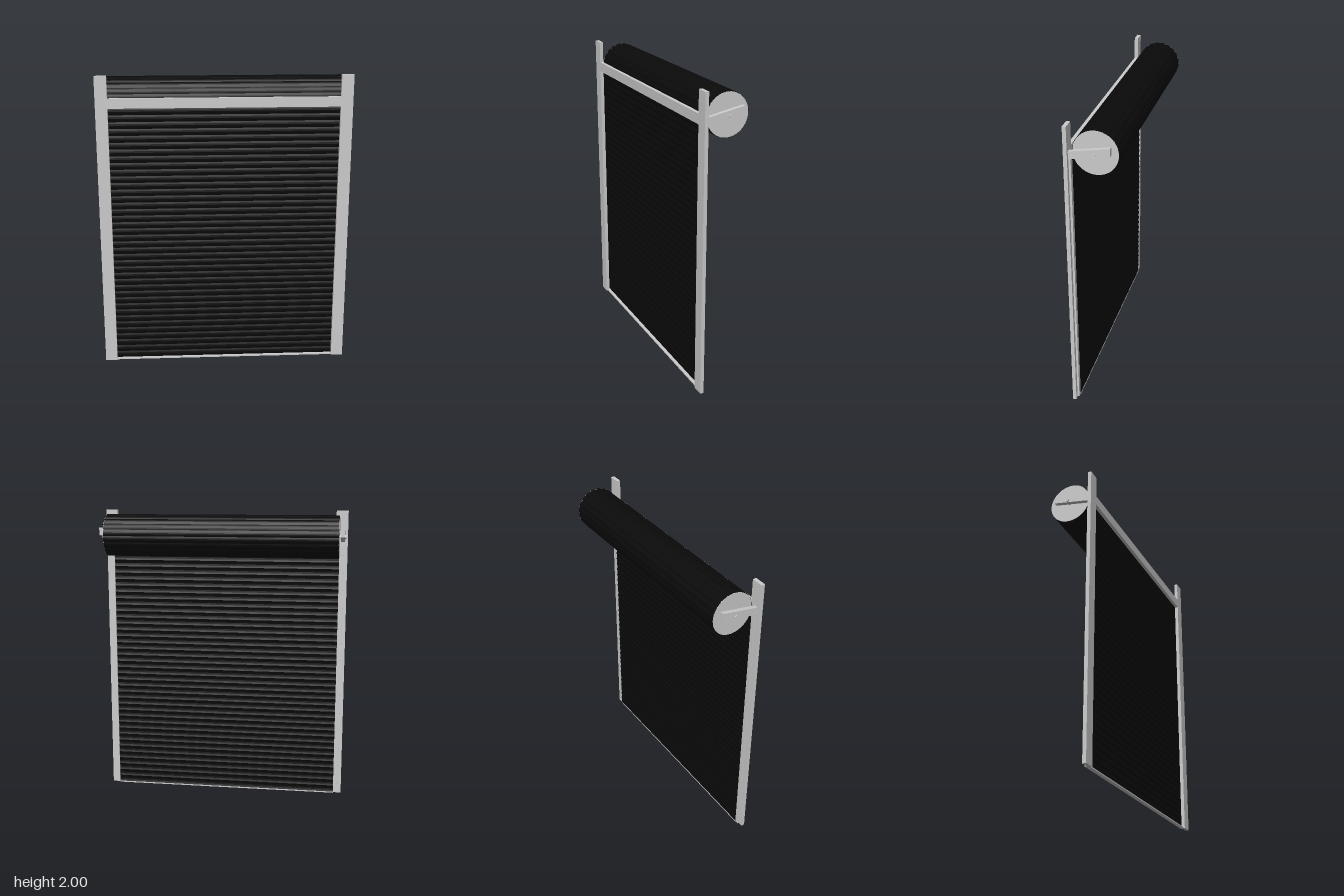
import * as THREE from 'three';

const grey = new THREE.MeshStandardMaterial({ color: 0xcccccc });
const black = new THREE.MeshStandardMaterial({ color: 0x0a0a0a });

const ROLL = { y: 1.833, z: -0.0185, r: 0.1415 };
const HALF_WIDTH = 0.785;

function add(parent, name, geometry, material = grey) {
  const mesh = new THREE.Mesh(geometry, material);
  mesh.name = name;
  parent.add(mesh);
  return mesh;
}

// Box given by its limits on each axis
function box(parent, name, [x0, x1], [y0, y1], [z0, z1]) {
  const mesh = add(parent, name, new THREE.BoxGeometry(x1 - x0, y1 - y0, z1 - z0));
  mesh.position.set((x0 + x1) / 2, (y0 + y1) / 2, (z0 + z1) / 2);
  return mesh;
}

// Extrudes a (z, y) outline along x, from x0 to x1
function extrudeX(points, x0, x1) {
  const shape = new THREE.Shape(points.map(([z, y]) => new THREE.Vector2(-z, y)));
  const geometry = new THREE.ExtrudeGeometry(shape, { depth: x1 - x0, bevelEnabled: false });
  return geometry.rotateY(Math.PI / 2).translate(x0, 0, 0);
}

function createRoll() {
  const roll = new THREE.Group();
  roll.name = 'shutterRoll';
  // Ribbed outer surface of the wound slats
  const lobes = 20, steps = 6, outline = [];
  for (let i = 0; i < lobes * steps; i++) {
    const a = (i / (lobes * steps)) * Math.PI * 2;
    const r = ROLL.r - 0.004 * (1 - Math.sin(Math.PI * (i % steps) / steps));
    outline.push([Math.cos(a) * r, Math.sin(a) * r]);
  }
  add(roll, 'woundSlats', extrudeX(outline, -HALF_WIDTH, HALF_WIDTH), black);
  // End discs and axle pins
  for (const side of [-1, 1]) {
    const disc = add(roll, 'endDisc', new THREE.CylinderGeometry(0.1385, 0.1385, 0.004, 40));
    disc.rotation.z = Math.PI / 2;
    disc.position.x = side * HALF_WIDTH;
    const pin = add(roll, 'axlePin', new THREE.CylinderGeometry(0.012, 0.012, 0.045, 16));
    pin.rotation.z = Math.PI / 2;
    pin.position.x = side * 0.807;
  }
  roll.position.set(0, ROLL.y, ROLL.z);
  return roll;
}

// Hanging curtain of curved slats, bulging to the front and hollow behind
function createCurtain() {
  const slats = 40, steps = 4, bottom = 0.008;
  const pitch = (ROLL.y - bottom) / slats;
  const front = [], back = [];
  for (let i = 0; i <= slats * steps; i++) {
    const y = bottom + (i / steps) * pitch;
    const bulge = 0.005 * Math.sin(Math.PI * (i % steps) / steps);
    front.push([0.128 + bulge, y]);
    back.push([0.1245 + bulge, y]);
  }
  return extrudeX([...front, ...back.reverse()], -HALF_WIDTH, HALF_WIDTH);
}

export function createModel() {
  const model = new THREE.Group();
  model.name = 'rollerShutter';

  // Front frame: lintel and bottom bar
  box(model, 'lintel', [-0.76, 0.76], [1.79, 1.855], [0.137, 0.16]);
  box(model, 'bottomBar', [-HALF_WIDTH, HALF_WIDTH], [0, 0.008], [0.123, 0.15]);

  for (const side of [-1, 1]) {
    const span = (a, b) => (side > 0 ? [a, b] : [-b, -a]);
    // Post with the guide rail behind it
    box(model, 'post', span(0.76, 0.84), [0, 2], [0.136, 0.16]);
    box(model, 'guideRail', span(0.786, 0.815), [0.008, 1.79], [0.123, 0.137]);
    // Sloping arm that carries the roll
    const arm = [[0.137, 1.79], [0.137, 1.84], [-0.115, 1.886], [-0.115, 1.836]];
    add(model, 'supportArm', extrudeX(arm.reverse(), ...span(0.795, 0.822)));
  }

  add(model, 'curtain', createCurtain(), black);
  model.add(createRoll());
  return model;
}
